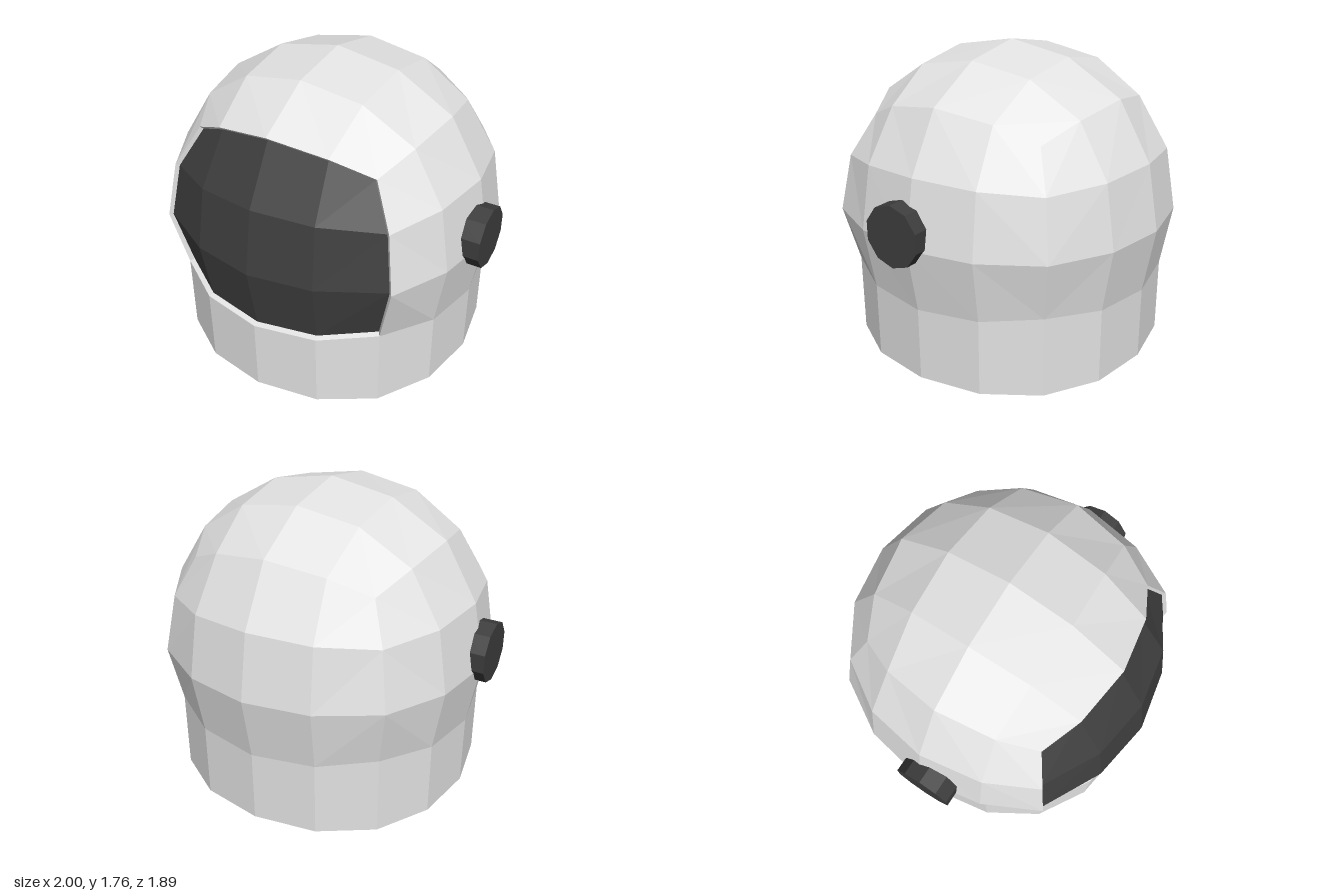
import * as THREE from 'three';

const CENTRE_Y = 0.8, CENTRE_Z = 0.016;

// Rounded-cube lattice: [value of a coordinate at level 1, value at level 2]
// keyed by the sorted absolute lattice coordinates.
const LEVELS = {
  '002': [0, 0.956], '012': [0.375, 0.89], '022': [0, 0.7],
  '112': [0.36, 0.83], '122': [0.335, 0.65], '222': [0, 0.555],
};

function ballPoint(p) {
  const key = p.map(Math.abs).sort().join('');
  const level = LEVELS[key];
  const q = p.map(c => (c === 0 ? 0 : Math.sign(c) * level[Math.abs(c) - 1]));
  // the visor opening is slightly widened at its sides
  if (p[2] === 2 && Math.abs(p[0]) === 2) {
    if (p[1] === 0) q[0] = Math.sign(p[0]) * 0.73;
    if (p[1] === 1) { q[0] = Math.sign(p[0]) * 0.68; q[1] = 0.325; }
  }
  return q;
}

function place(q, scale = 1) {
  return [q[0] * scale, q[1] * scale + CENTRE_Y, q[2] * scale + CENTRE_Z];
}

// Shell point; the lowest lattice row drops straight down to the ground.
function shellPoint(p) {
  if (p[1] > -2) {
    const q = ballPoint(p);
    if (p[1] === -1 && p[2] === 2) q[2] += 0.008;
    return place(q);
  }
  const above = shellPoint([p[0], -1, p[2]]);
  return [above[0], 0, above[2]];
}

const visorPoint = p => place(ballPoint(p), 0.975);

function addQuad(out, a, b, c, d) {
  out.push(...a, ...b, ...c, ...a, ...c, ...d);
}

// One 4 x 4 side of the lattice; keep(row) picks cells by their lower y row.
function addSide(out, axis, sign, pointAt, keep) {
  const u = (axis + 1) % 3, v = (axis + 2) % 3;
  for (let a = -2; a < 2; a++) {
    for (let b = -2; b < 2; b++) {
      const corners = [[a, b], [a + 1, b], [a + 1, b + 1], [a, b + 1]].map(([s, t]) => {
        const p = [0, 0, 0];
        p[axis] = 2 * sign;
        p[u] = s;
        p[v] = t;
        return p;
      });
      if (!keep(Math.min(...corners.map(p => p[1])))) continue;
      if (sign < 0) corners.reverse();
      addQuad(out, ...corners.map(pointAt));
    }
  }
}

function makeMesh(name, positions, material) {
  const geometry = new THREE.BufferGeometry();
  geometry.setAttribute('position', new THREE.Float32BufferAttribute(positions, 3));
  geometry.computeVertexNormals();
  const mesh = new THREE.Mesh(geometry, material);
  mesh.name = name;
  return mesh;
}

export function createModel() {
  const group = new THREE.Group();
  group.name = 'helmet';
  const shellMat = new THREE.MeshStandardMaterial({ color: 0xe2e2e2 });
  shellMat.name = 'light grey shell';
  const darkMat = new THREE.MeshStandardMaterial({ color: 0x3e3e3e });
  darkMat.name = 'dark grey';

  // Dome: top, both sides and back
  const dome = [];
  addSide(dome, 1, 1, shellPoint, () => true);
  for (const [axis, sign] of [[0, 1], [0, -1], [2, -1]]) {
    addSide(dome, axis, sign, shellPoint, row => row >= -1);
  }
  group.add(makeMesh('dome', dome, shellMat));

  // Neck ring: straight walls down to the ground
  const neck = [];
  for (const [axis, sign] of [[0, 1], [0, -1], [2, 1], [2, -1]]) {
    addSide(neck, axis, sign, shellPoint, row => row === -2);
  }
  group.add(makeMesh('neckRing', neck, shellMat));

  // Flat underside
  const ring = [];
  for (let i = -2; i < 2; i++) ring.push([i, -2, 2]);
  for (let i = 2; i > -2; i--) ring.push([2, -2, i]);
  for (let i = 2; i > -2; i--) ring.push([i, -2, -2]);
  for (let i = -2; i < 2; i++) ring.push([-2, -2, i]);
  const base = [];
  ring.forEach((p, i) => {
    const next = ring[(i + 1) % ring.length];
    base.push(0, 0, CENTRE_Z, ...shellPoint(next), ...shellPoint(p));
  });
  group.add(makeMesh('underside', base, shellMat));

  // Visor fills the front opening
  const visor = [];
  addSide(visor, 2, 1, visorPoint, row => row >= -1);
  group.add(makeMesh('visor', visor, darkMat));

  // Lip between the shell opening and the visor
  const edge = [];
  for (let x = -2; x < 2; x++) edge.push([x, -1, 2]);
  for (let y = -1; y < 2; y++) edge.push([2, y, 2]);
  for (let x = 2; x > -2; x--) edge.push([x, 2, 2]);
  for (let y = 2; y > -1; y--) edge.push([-2, y, 2]);
  const lip = [];
  edge.forEach((p, i) => {
    const next = edge[(i + 1) % edge.length];
    addQuad(lip, shellPoint(p), shellPoint(next), visorPoint(next), visorPoint(p));
  });
  group.add(makeMesh('visorLip', lip, shellMat));

  // Round ear caps
  for (const side of [1, -1]) {
    const geometry = new THREE.CylinderGeometry(0.175, 0.175, 0.15, 10, 1, false, Math.PI / 2)
      .toNonIndexed();
    geometry.computeVertexNormals();
    const cap = new THREE.Mesh(geometry, darkMat);
    cap.name = side > 0 ? 'leftEarCap' : 'rightEarCap';
    cap.rotation.z = Math.PI / 2;
    cap.position.set(side * 0.925, 0.875, 0.077);
    group.add(cap);
  }
  return group;
}
